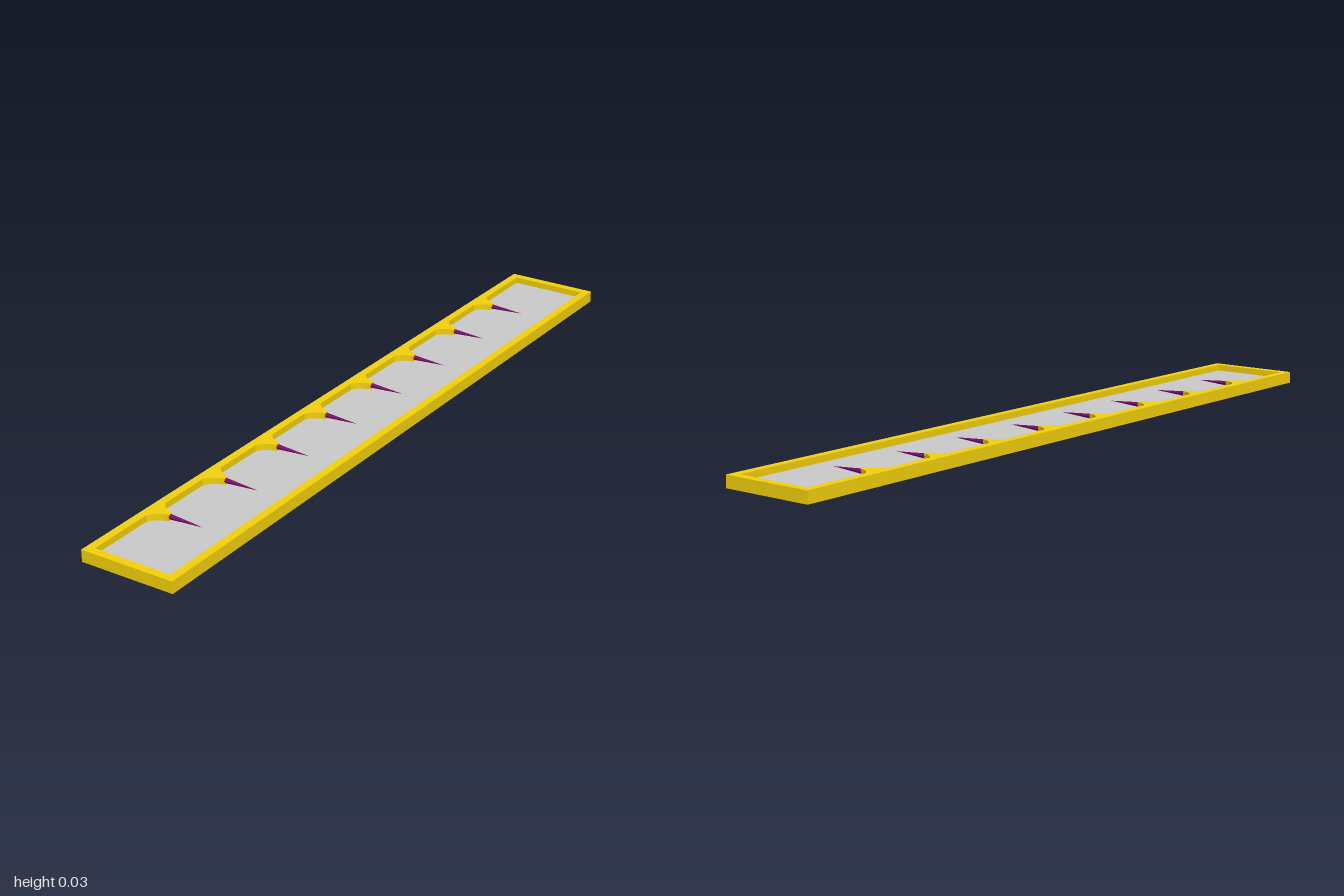
import * as THREE from 'three';

const W = 0.13, L = 1, H = 0.032, RIM = 0.022, PANEL_TOP = 0.015;

export function createModel() {
  const model = new THREE.Group();
  const yellow = new THREE.MeshStandardMaterial({ color: 0xf5d20c });
  const grey = new THREE.MeshStandardMaterial({ color: 0xcccccc });
  const purple = new THREE.MeshStandardMaterial({ color: 0x7a0a68, flatShading: true });

  const add = (parent, name, geometry, material) => {
    const mesh = new THREE.Mesh(geometry, material);
    mesh.name = name;
    parent.add(mesh);
    return mesh;
  };

  // Extrudes a plan drawn in (x, -z) upward from y0 to y1
  const slab = (shape, y0, y1) =>
    new THREE.ExtrudeGeometry(shape, { depth: y1 - y0, bevelEnabled: false, curveSegments: 8 })
      .rotateX(-Math.PI / 2).translate(0, y0, 0);

  const rectangle = (Type, w, l) => new Type([
    new THREE.Vector2(-w, -l), new THREE.Vector2(w, -l),
    new THREE.Vector2(w, l), new THREE.Vector2(-w, l),
  ].map((p) => p));

  // Rim around the tray
  const plan = rectangle(THREE.Shape, W, L);
  plan.holes.push(rectangle(THREE.Path, W - RIM, L - RIM));
  add(model, 'frame', slab(plan, 0, H), yellow);

  // Recessed floor panel
  const panel = add(model, 'panel',
    new THREE.BoxGeometry(2 * (W - RIM), PANEL_TOP - 0.001, 2 * (L - RIM)), grey);
  panel.position.y = (PANEL_TOP + 0.001) / 2;

  // Flared bracket, concave on both sides, growing out of the right rim
  const x0 = -W + RIM;
  const flare = new THREE.Shape();
  flare.moveTo(x0, -0.037);
  flare.quadraticCurveTo(x0 + 0.012, -0.014, -0.065, -0.006);
  flare.lineTo(-0.065, 0.006);
  flare.quadraticCurveTo(x0 + 0.012, 0.014, x0, 0.037);
  flare.closePath();
  const bracketGeometry = slab(flare, PANEL_TOP, H);

  // Slim spike pointing toward the left rim
  const spikeGeometry = new THREE.ConeGeometry(0.007, 0.1, 8)
    .rotateZ(-Math.PI / 2).translate(-0.02, 0.024, 0);

  // Row of eight spikes along the rim
  for (let i = 0; i < 8; i++) {
    const marker = new THREE.Group();
    marker.name = 'spikeMount';
    marker.position.z = (i - 3.5) * 0.2165;
    add(marker, 'bracket', bracketGeometry, yellow);
    add(marker, 'spike', spikeGeometry, purple);
    model.add(marker);
  }
  return model;
}
